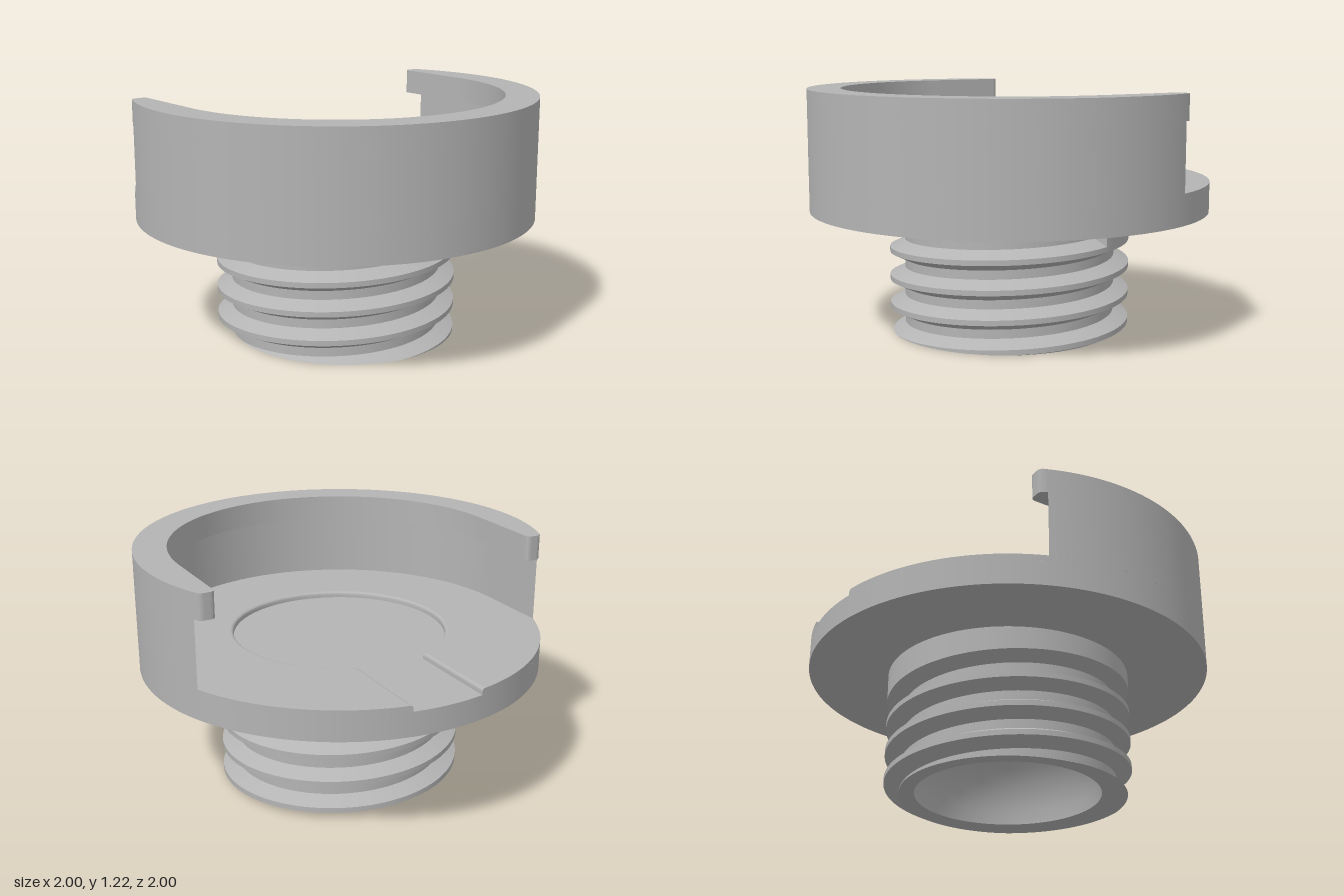
import * as THREE from 'three';
import { toCreasedNormals } from 'three/addons/utils/BufferGeometryUtils.js';

const PI = Math.PI;
const grey = new THREE.MeshStandardMaterial({ color: 0xb4b4b4 });
grey.name = 'grey';

function part(name, geometry, y = 0) {
  const mesh = new THREE.Mesh(geometry, grey);
  mesh.name = name;
  mesh.position.y = y;
  return mesh;
}

// Surface through columns of points, each running down the outside
function skin(columns, extraTriangles = []) {
  const rows = columns[0].length;
  const index = [];
  for (let c = 0; c < columns.length - 1; c++) {
    for (let r = 0; r < rows - 1; r++) {
      const a = c * rows + r, b = a + rows;
      index.push(a, a + 1, b, a + 1, b + 1, b);
    }
  }
  index.push(...extraTriangles);
  const g = new THREE.BufferGeometry();
  g.setAttribute('position', new THREE.Float32BufferAttribute(columns.flat(2), 3));
  g.setIndex(index);
  return toCreasedNormals(g.toNonIndexed(), 0.4);
}

// Upright extrusion; the shape's +y points to the back
function slab(shape, height) {
  const g = new THREE.ExtrudeGeometry(shape, { depth: height, bevelEnabled: false, curveSegments: 96 });
  g.rotateX(-PI / 2);
  return toCreasedNormals(g, 0.4);
}

// Stem: helical groove that stops near the top, flat foot and domed bore
function stemGeometry() {
  const pitch = 0.142, end = 1.91, crest = 0.605, root = 0.53, bore = 0.456;
  const segments = 144, columns = [];
  for (let i = 0; i <= segments; i++) {
    const t = end - 2 * PI + (2 * PI * i) / segments;
    const top = 0.53 + (pitch * (t - end)) / (2 * PI);
    const profile = [[crest, 0.61]];
    for (let k = 0; k < 5; k++) {
      const c = top - k * pitch;
      profile.push([crest, c + 0.058], [root, c + 0.022], [root, c - 0.022], [crest, c - 0.058]);
    }
    // Trim the thread at the foot
    const cut = profile.findIndex(p => p[1] < 0);
    const [r0, y0] = profile[cut - 1], [r1, y1] = profile[cut];
    const rim = r0 + ((r1 - r0) * y0) / (y0 - y1);
    for (let k = cut; k < profile.length; k++) profile[k] = [rim, 0];
    for (let k = 0; k <= 10; k++) {
      const a = (k / 10) * PI / 2;
      profile.push([bore * Math.cos(a), 0.46 * Math.sin(a)]);
    }
    columns.push(profile.map(([r, y]) => [r * Math.sin(t), y, r * Math.cos(t)]));
  }
  // Flat wall closing the end of the groove
  const e = segments * columns[0].length + 1;
  return skin(columns, [e, e + 1, e + 2, e, e + 2, e + 3]);
}

// Disc with a round recess and a slot to the back, both widened by o
function keyholeOutline(o) {
  const w = 0.18 + o, inner = 0.53 + o, points = [];
  const arc = (r, from, to, n) => {
    for (let i = 0; i <= n; i++) {
      const a = from + ((to - from) * i) / n;
      points.push(new THREE.Vector2(r * Math.cos(a), r * Math.sin(a)));
    }
  };
  const A = Math.acos(w), B = Math.acos(w / inner);
  arc(1, PI - A, 2 * PI + A, 128);
  arc(inner, 2 * PI + B, PI - B, 80);
  return points;
}

function keyholeWalls() {
  const fillet = 0.015, rings = [];
  for (let i = 5; i >= 0; i--) {
    const a = (i / 5) * PI / 2;
    rings.push([keyholeOutline(fillet * (1 - Math.cos(a))), 0.745 + fillet * Math.sin(a)]);
  }
  rings.push([keyholeOutline(0), 0.73]);
  const columns = rings[0][0].map((_, i) => rings.map(([p, y]) => [p[i].x, y, -p[i].y]));
  columns.push(columns[0]);
  return skin(columns);
}

// Thin U-shaped wall, tapering out where it meets the round outside
function wallShape() {
  const r = 0.925, a = Math.acos(r);
  const s = new THREE.Shape();
  s.absarc(0, 0, 1, PI - a, 2 * PI + a, false);
  s.lineTo(r, 0);
  s.absarc(0, 0, r, 2 * PI, PI, true);
  s.closePath();
  return s;
}

// Wider U-shaped lip with rounded tips
function lipShape() {
  const r = 0.835, a = Math.asin(0.4), x = Math.cos(a), tip = 0.415;
  const s = new THREE.Shape();
  s.absarc(0, 0, 1, PI - a, 2 * PI + a, false);
  s.quadraticCurveTo(x - 0.01, tip, 0.89, tip);
  s.lineTo(0.86, tip);
  s.quadraticCurveTo(r, tip, r, 0.39);
  s.lineTo(r, 0);
  s.absarc(0, 0, r, 2 * PI, PI, true);
  s.lineTo(-r, 0.39);
  s.quadraticCurveTo(-r, tip, -0.86, tip);
  s.lineTo(-0.89, tip);
  s.quadraticCurveTo(-x + 0.01, tip, -x, 0.4);
  return s;
}

export function createModel() {
  const model = new THREE.Group();
  model.name = 'threadedHolder';

  model.add(part('threadedStem', stemGeometry()));
  model.add(part('basePlate', new THREE.CylinderGeometry(1, 1, 0.12, 128), 0.67));

  // Raised floor around the recess
  const floor = new THREE.Group();
  floor.name = 'raisedFloor';
  const top = new THREE.ShapeGeometry(new THREE.Shape(keyholeOutline(0.015)));
  top.rotateX(-PI / 2);
  floor.add(part('floorTop', top, 0.76), part('floorEdges', keyholeWalls()));
  model.add(floor);

  model.add(part('sideWall', slab(wallShape(), 0.33), 0.76));
  model.add(part('retainingLip', slab(lipShape(), 0.125), 1.09));
  return model;
}
